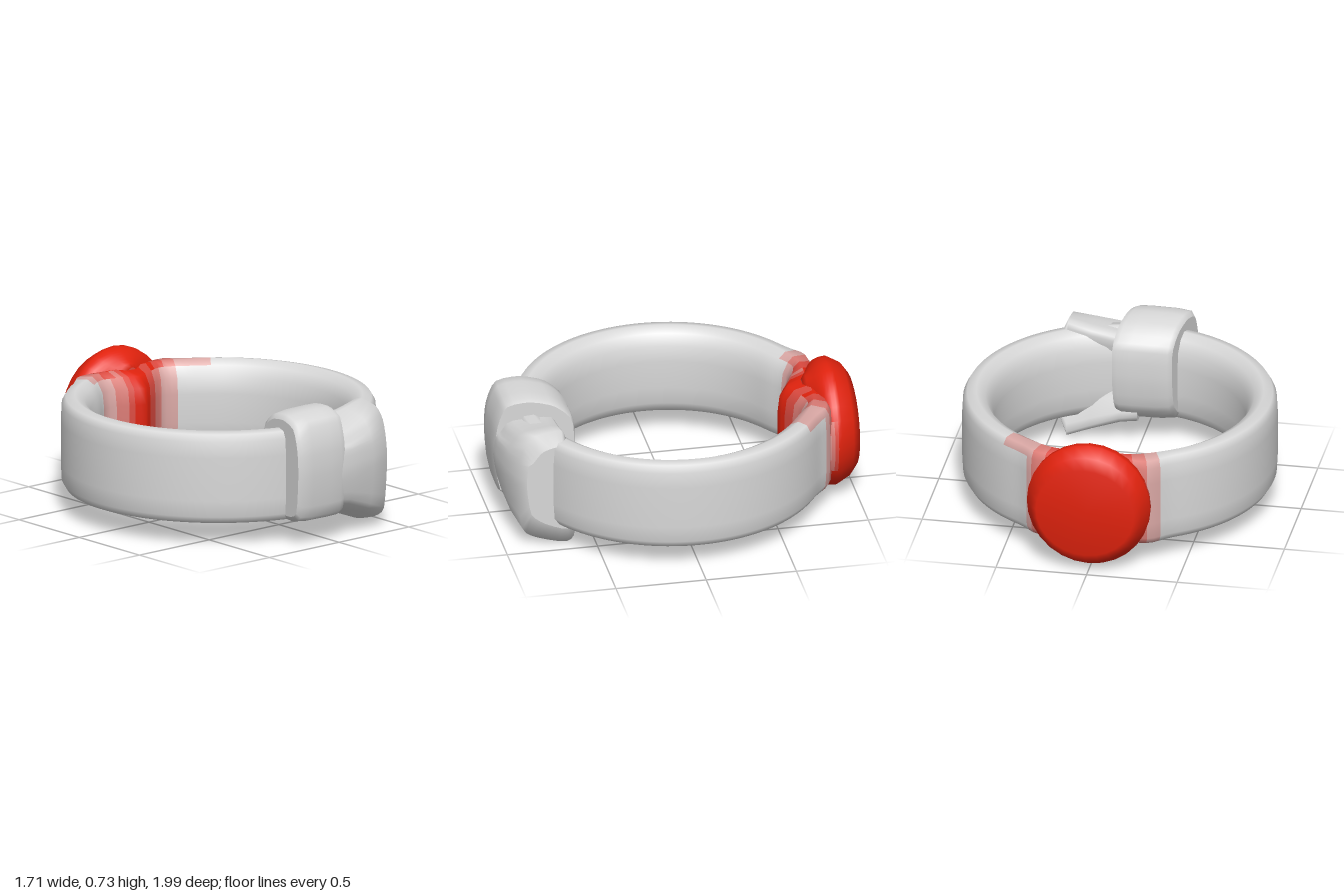
import * as THREE from 'three';
import { mergeVertices } from 'three/addons/utils/BufferGeometryUtils.js';

const mat = (name, color) => {
  const m = new THREE.MeshStandardMaterial({ color });
  m.name = name;
  return m;
};

// Skin closed loops of [x, y, z] points and cap both ends
function loft(sections) {
  const n = sections[0].length, pos = [], idx = [];
  sections.forEach(s => s.forEach(p => pos.push(...p)));
  for (let i = 0; i < sections.length - 1; i++) {
    for (let j = 0; j < n; j++) {
      const a = i * n + j, b = i * n + (j + 1) % n, c = b + n, d = a + n;
      idx.push(a, d, c, a, c, b);
    }
  }
  [sections[0], sections[sections.length - 1]].forEach((s, end) => {
    const base = pos.length / 3;
    s.forEach(p => pos.push(...p));
    pos.push(...[0, 1, 2].map(k => s.reduce((sum, p) => sum + p[k], 0) / n));
    for (let j = 0; j < n; j++) {
      const a = base + j, b = base + (j + 1) % n;
      idx.push(base + n, ...(end ? [b, a] : [a, b]));
    }
  });
  const g = new THREE.BufferGeometry();
  g.setAttribute('position', new THREE.Float32BufferAttribute(pos, 3));
  g.setIndex(idx);
  g.computeVertexNormals();
  return g;
}

// Weld all corners for continuous smooth shading
function weld(geometry) {
  geometry.deleteAttribute('normal');
  geometry.deleteAttribute('uv');
  const g = mergeVertices(geometry, 1e-4);
  g.computeVertexNormals();
  return g;
}

// Sort quads (triangle pairs) into material groups by a rule on their centres
function paint(g, shadeOf) {
  const p = g.attributes.position, src = Array.from(g.index.array), lists = [[], [], [], [], []];
  for (let i = 0; i < src.length; i += 6) {
    const quad = src.slice(i, i + 6);
    const mean = get => quad.reduce((s, v) => s + p[get](v), 0) / 6;
    lists[shadeOf(mean('getX'), mean('getY'), mean('getZ'))].push(...quad);
  }
  g.setIndex(lists.flat());
  let start = 0;
  lists.forEach((list, shade) => {
    g.addGroup(start, list.length, shade);
    start += list.length;
  });
  return g;
}

// 0 red, 1 to 3 paler blends, 4 silver
const step = (value, limits) => limits.filter(l => value >= l).length;

// Smooth closed loop in the z/y plane, placed at x and leaning with depth
function strapLoop(x, lean, points, count = 32) {
  const curve = new THREE.CatmullRomCurve3(
    points.map(([z, y]) => new THREE.Vector3(0, y, z)), true, 'catmullrom', 0.35);
  return Array.from({ length: count }, (_, i) => {
    const p = curve.getPoint(i / count);
    return [x + (0.95 - p.z) * lean, p.y, p.z];
  });
}

// Ring body, with an inner ridge, flared shoulders and blended colours at the stone
function bandGeometry() {
  const profile = [
    [0.77, 0.13], [0.83, 0.133], [0.852, 0.17], [0.857, 0.26], [0.857, 0.5], [0.852, 0.59],
    [0.83, 0.628], [0.78, 0.638], [0.73, 0.61], [0.695, 0.55], [0.685, 0.46],
    [0.685, 0.3], [0.695, 0.2], [0.72, 0.145], [0.77, 0.13],
  ].map(p => new THREE.Vector2(...p));
  const g = new THREE.LatheGeometry(profile, 144);
  const p = g.attributes.position;
  for (let i = 0; i < p.count; i++) {
    const x = p.getX(i), z = p.getZ(i), r = Math.hypot(x, z);
    const off = Math.abs(Math.atan2(x, -z));
    const ridge = -0.085 * Math.max(0, 1 - off / 0.27) + 0.03 * Math.exp(-(((off - 0.3) / 0.14) ** 2));
    const shoulder = 0.035 * Math.exp(-(((off - 0.36) / 0.1) ** 2));
    const k = 1 + (r < 0.8 ? ridge * Math.min(1, (0.8 - r) / 0.08) : shoulder) / r;
    p.setX(i, x * k);
    p.setZ(i, z * k);
  }
  return paint(weld(g), (x, y, z) => {
    const angle = THREE.MathUtils.radToDeg(Math.atan2(x, -z)) - 1;
    if (Math.hypot(x, z) < 0.745) return step(Math.abs(angle), [5, 9.5, 14, 21]);
    const reach = angle < 0 ? 27 : y > 0.6 ? 37 : 23.5;
    return step(Math.abs(angle), [12, 17, 21, reach]);
  });
}

// Oval stone: rings from the flat back face towards the band
function stoneGeometry() {
  const rings = [
    [-1, 0.27, 0.255], [-0.96, 0.305, 0.315], [-0.89, 0.34, 0.355], [-0.87, 0.34, 0.353],
    [-0.85, 0.338, 0.35], [-0.83, 0.33, 0.343], [-0.815, 0.315, 0.335], [-0.8, 0.29, 0.325],
    [-0.785, 0.255, 0.313], [-0.77, 0.21, 0.3], [-0.75, 0.15, 0.285], [-0.73, 0.09, 0.265],
  ].map(([z, rx, ry]) => Array.from({ length: 28 }, (_, j) => {
    const a = -j / 28 * Math.PI * 2;
    return [0.01 + rx * Math.cos(a), 0.377 + ry * Math.sin(a), z];
  }));
  return paint(weld(loft(rings)), (x, y, z) =>
    step(z + Math.max(0, Math.abs(x - 0.01) - 0.12) * 0.65, [-0.735, -0.715, -0.7, -0.68]));
}

export function createModel() {
  const silver = mat('silver', 0xd8d8d8);
  const shades = [
    mat('red', 0xe0220d), mat('deepBlend', 0xdc4a40), mat('midBlend', 0xdb7c76),
    mat('paleBlend', 0xdaa8a5), silver,
  ];
  const group = new THREE.Group();
  const add = (name, geometry, material) => {
    const m = new THREE.Mesh(geometry, material);
    m.name = name;
    group.add(m);
  };

  add('band', bandGeometry(), shades);
  add('stone', stoneGeometry(), shades);

  // Strap wrapped around the front of the band
  const wrap = [
    [0.985, 0.4], [0.975, 0.56], [0.925, 0.69], [0.8, 0.725], [0.66, 0.7], [0.56, 0.61],
    [0.55, 0.42], [0.58, 0.24], [0.68, 0.14], [0.86, 0.125], [0.96, 0.17],
  ];
  const wrapAt = (x, s) => strapLoop(x, 0.2,
    wrap.map(([z, y]) => [0.77 + (z - 0.77) * s, 0.42 + (y - 0.42) * s]));
  add('knotWrap', loft([
    wrapAt(-0.255, 0.88), wrapAt(-0.235, 0.97), wrapAt(-0.16, 1), wrapAt(-0.03, 1.005),
    wrapAt(0.04, 1), wrapAt(0.07, 0.96),
  ]), silver);

  // Flared strap end beside the wrap
  const tailAt = (x, top, bottom, front) => strapLoop(x, 0, [
    [front, 0.38], [front - 0.01, 0.5], [front - 0.035, top - 0.09], [front - 0.09, top - 0.025],
    [0.69, top], [0.66, top - 0.06], [0.7, 0.38], [0.61, bottom + 0.06], [0.66, bottom],
    [front - 0.1, bottom + 0.045], [front - 0.025, bottom + 0.11],
  ]);
  add('knotTail', loft([
    tailAt(0.02, 0.62, 0.125, 0.983), tailAt(0.12, 0.625, 0.11, 0.985), tailAt(0.28, 0.655, 0.055, 0.965),
    tailAt(0.41, 0.69, 0.005, 0.925), tailAt(0.445, 0.61, 0.1, 0.88),
  ]), silver);

  return group;
}
